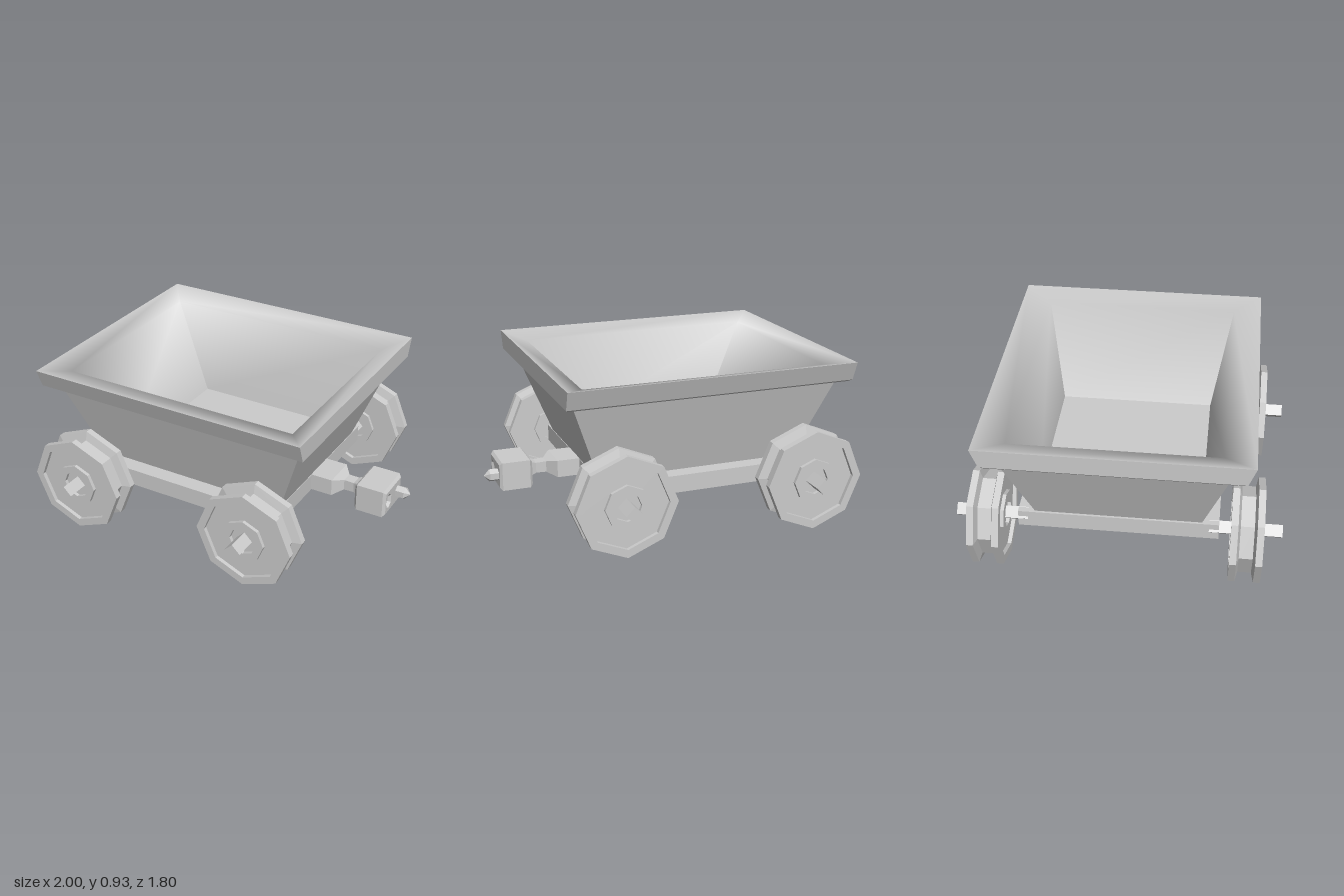
import * as THREE from 'three';
import { mergeVertices } from 'three/addons/utils/BufferGeometryUtils.js';

const CX = -0.145; // centre of the tub along x
const material = new THREE.MeshStandardMaterial({ color: 0xcccccc });

function addMesh(parent, name, geometry, x = 0, y = 0, z = 0) {
  const mesh = new THREE.Mesh(geometry, material);
  mesh.name = name;
  mesh.position.set(x, y, z);
  parent.add(mesh);
  return mesh;
}

function faceted(geometry) {
  const flat = geometry.index ? geometry.toNonIndexed() : geometry;
  flat.computeVertexNormals();
  return flat;
}

// Four-sided walls through rectangular rings [halfX, halfZ, y].
// Rings going up face outward, rings going down face inward.
// When smooth, normals blend everywhere except along the last ring.
function loft(rings, smooth = false) {
  const corners = [[1, 1], [1, -1], [-1, -1], [-1, 1]];
  const positions = [], walls = [];
  for (let r = 0; r < rings.length - 1; r++) {
    for (let w = 0; w < 4; w++) {
      for (const [up, side] of [[0, 0], [0, 1], [1, 1], [0, 0], [1, 1], [1, 0]]) {
        const [hx, hz, y] = rings[r + up];
        const [sx, sz] = corners[(w + side) % 4];
        positions.push(hx * sx, y, hz * sz);
        walls.push(r + up === rings.length - 1 ? w + 1 : 0);
      }
    }
  }
  let geometry = new THREE.BufferGeometry();
  geometry.setAttribute('position', new THREE.Float32BufferAttribute(positions, 3));
  if (smooth) {
    geometry.setAttribute('wall', new THREE.Float32BufferAttribute(walls, 1));
    geometry = mergeVertices(geometry);
    geometry.deleteAttribute('wall');
  }
  geometry.computeVertexNormals();
  return geometry;
}

function createTub() {
  const tub = new THREE.Group();
  tub.name = 'tub';
  addMesh(tub, 'tubOuterWalls', loft([[0.59, 0.46, 0.33], [0.775, 0.605, 0.81]]), CX);
  addMesh(tub, 'tubRim', loft([
    [0.77, 0.6, 0.81], [0.82, 0.66, 0.808], [0.833, 0.685, 0.822], [0.835, 0.725, 0.93],
  ]), CX);
  addMesh(tub, 'tubInnerWalls', loft([
    [0.835, 0.725, 0.93], [0.71, 0.565, 0.89], [0.445, 0.455, 0.37],
  ], true), CX);
  addMesh(tub, 'tubFloor', new THREE.PlaneGeometry(0.89, 0.91).rotateX(-Math.PI / 2), CX, 0.37);
  return tub;
}

// Octagonal grooved wheel with recessed faces and a raised hub
function wheelGeometry() {
  const half = [
    [0.02, -0.065], [0.08, -0.065], [0.08, -0.085], [0.125, -0.085], [0.125, -0.065],
    [0.24, -0.065], [0.24, -0.0875], [0.287, -0.0875], [0.287, -0.05], [0.235, -0.037],
  ];
  const mirrored = half.map(([r, y]) => [r, -y]).reverse();
  const profile = [...half, ...mirrored].map(([r, y]) => new THREE.Vector2(r, y));
  return faceted(new THREE.LatheGeometry(profile, 8).rotateX(Math.PI / 2));
}

function createCoupler() {
  const coupler = new THREE.Group();
  coupler.name = 'coupler';
  coupler.position.set(0, 0.29, -0.01);

  // Mount and pinched neck, lofted upward and laid along +x
  const neck = loft([
    [0.05, 0.1, 0.43], [0.05, 0.1, 0.58], [0.032, 0.035, 0.63],
    [0.03, 0.035, 0.69], [0.045, 0.05, 0.735],
  ]).rotateZ(-Math.PI / 2);
  addMesh(coupler, 'couplerNeck', neck);

  // Bevelled block with a six-sided socket
  const bevel = 0.015, hx = 0.118 - bevel, hy = 0.082 - bevel;
  const face = new THREE.Shape([[-hx, -hy], [hx, -hy], [hx, hy], [-hx, hy]]
    .map(([x, y]) => new THREE.Vector2(x, y)));
  const socket = [];
  for (let i = 0; i < 6; i++) {
    const a = -i * Math.PI / 3;
    socket.push(new THREE.Vector2(-0.062 + 0.04 * Math.sin(a), 0.048 * Math.cos(a)));
  }
  face.holes.push(new THREE.Path(socket));
  const block = new THREE.ExtrudeGeometry(face, {
    depth: 0.16, bevelEnabled: true, bevelSize: bevel, bevelThickness: bevel, bevelSegments: 1,
  });
  addMesh(coupler, 'couplerBlock', faceted(block.rotateY(Math.PI / 2)), 0.745, 0, 0);
  const plug = new THREE.BoxGeometry(0.08, 0.11, 0.09);
  addMesh(coupler, 'socketBack', plug, 0.775, 0, 0.062);

  // Pointed six-sided pin
  const pin = new THREE.LatheGeometry([[0.036, 0], [0.036, 0.06], [0.003, 0.09], [0, 0.09]]
    .map(([r, y]) => new THREE.Vector2(r, y)), 6);
  pin.rotateX(Math.PI / 2).rotateY(Math.PI / 2);
  addMesh(coupler, 'couplerPin', faceted(pin), 0.91, 0, -0.06);
  return coupler;
}

export function createModel() {
  const cart = new THREE.Group();
  cart.name = 'mineCart';
  cart.add(createTub());
  addMesh(cart, 'chassis', new THREE.BoxGeometry(1.2, 0.1, 1.11), CX - 0.005, 0.285);

  // Four wheels on square axle stubs
  const wheel = wheelGeometry();
  const axle = faceted(new THREE.CylinderGeometry(0.047, 0.047, 0.4, 4).rotateX(Math.PI / 2));
  for (const [end, x] of [['rear', -0.713], ['front', 0.395]]) {
    for (const [label, side] of [['Left', 1], ['Right', -1]]) {
      addMesh(cart, `${end}${label}Wheel`, wheel, x, 0.29, side * 0.705);
      addMesh(cart, `${end}${label}Axle`, axle, x, 0.29, side * 0.7);
    }
  }

  cart.add(createCoupler());
  return cart;
}
